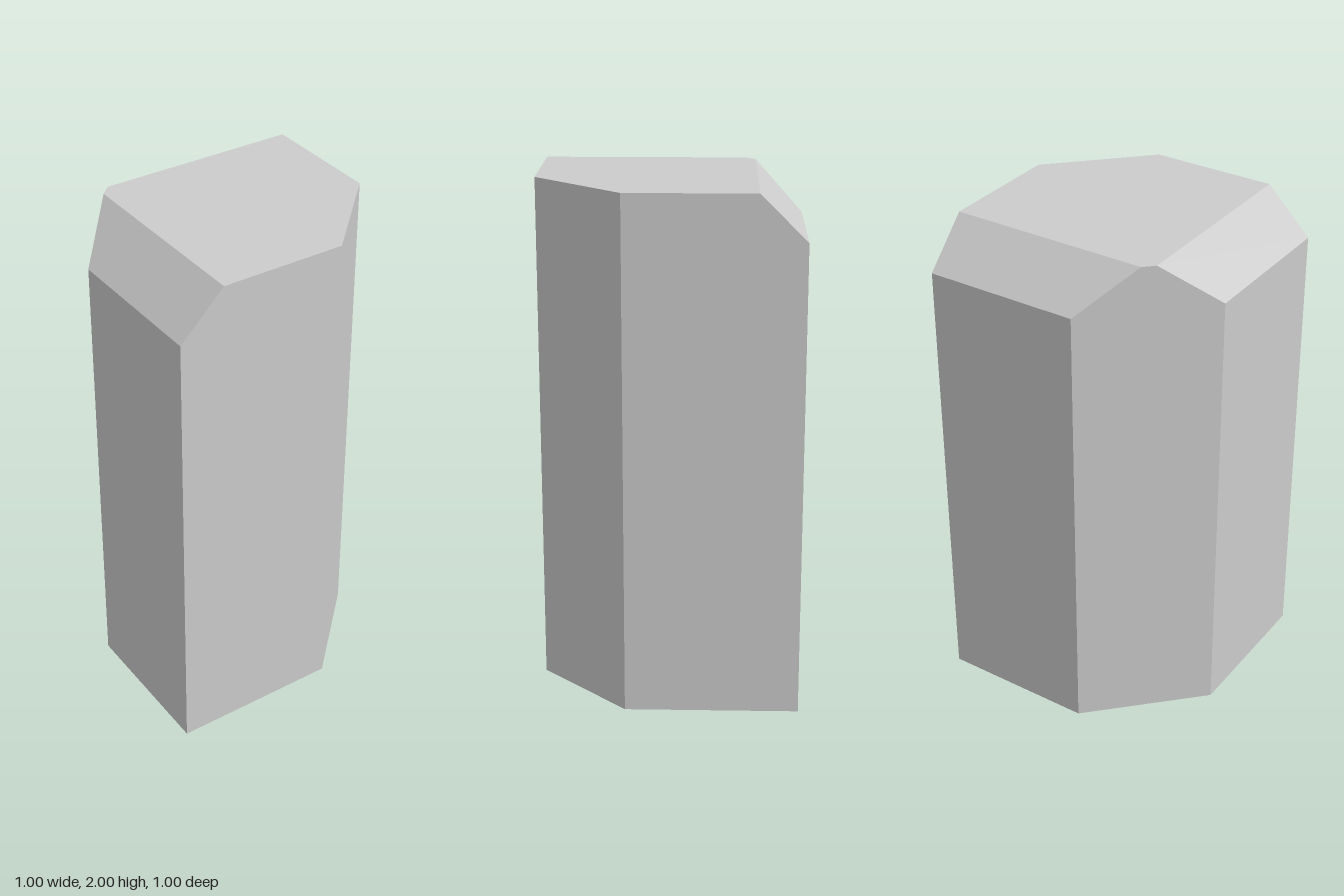
import * as THREE from 'three';
import { ConvexGeometry } from 'three/addons/geometries/ConvexGeometry.js';

export function createModel() {
  const H = 2, S = 0.5;       // height, half width
  const bevel = 0.175;        // 45 degree bevel on the top left-hand and back edges
  const front = 0.165;        // where the front corner cut meets the sides
  const back = -0.111;        // where the back corner cut meets the sides
  const T = S - bevel;
  const cut = back + bevel - S; // second coordinate of the back cut's top end

  const points = [];
  const ring = (y, outline) => outline.forEach(([x, z]) => points.push(new THREE.Vector3(x, y, z)));

  // Six-sided foot: a square with two opposite corners cut off
  ring(0, [[-S, back], [back, -S], [S, -S], [S, front], [front, S], [-S, S]]);
  // Lower edges of the two bevels
  ring(H - bevel, [[-S, back], [back, -S], [S, -S], [-S, S]]);
  // Flat top
  const inner = back - bevel;
  ring(H, [[-T, inner], [inner, -T], [S, -T], [S, front], [front, S], [-T, S]]);

  const column = new THREE.Mesh(
    new ConvexGeometry(points),
    new THREE.MeshStandardMaterial({ color: 0xcccccc, flatShading: true })
  );
  column.name = 'bevelledColumn';

  const group = new THREE.Group();
  group.name = 'column';
  group.add(column);
  return group;
}
